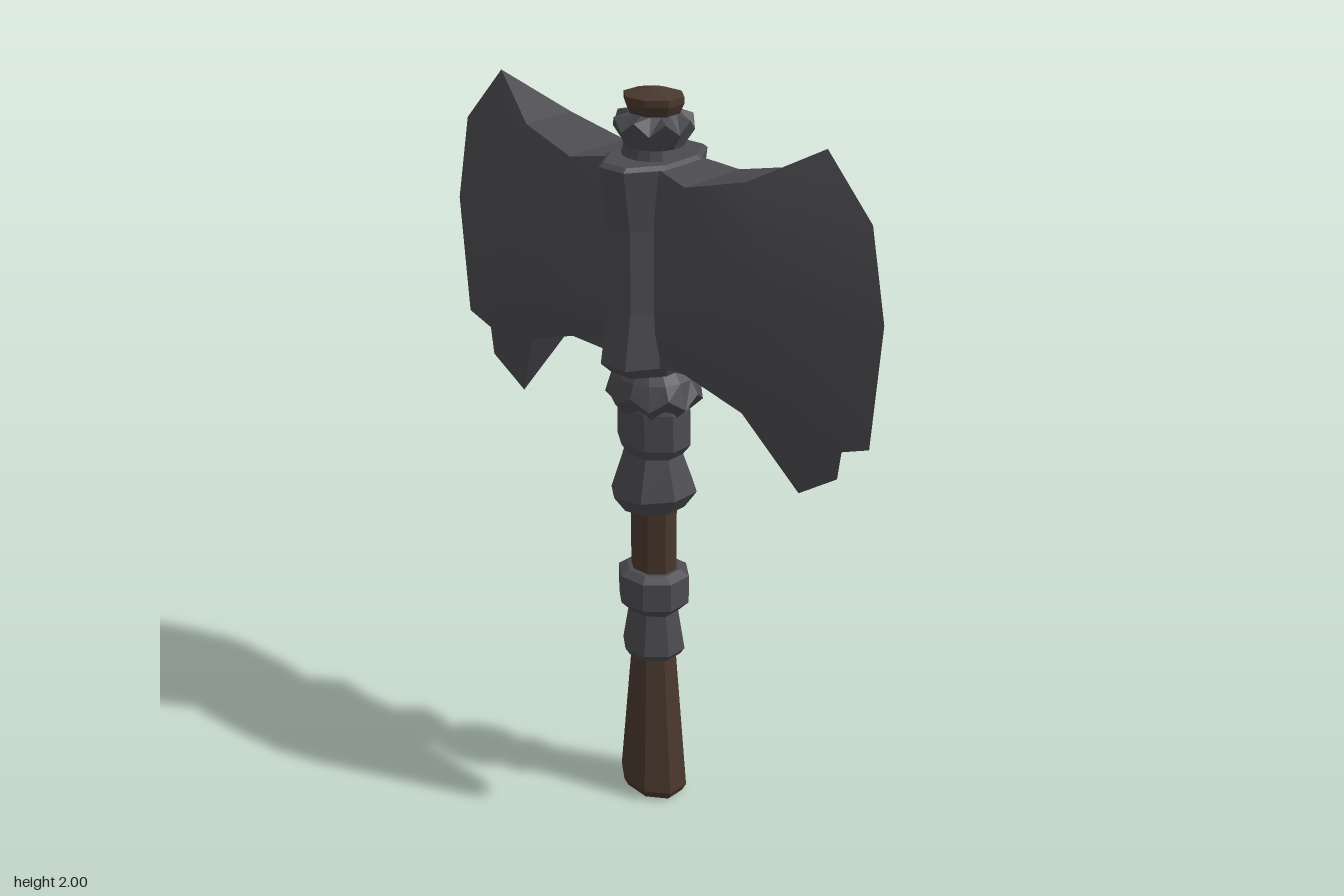
import * as THREE from 'three';

const metal = new THREE.MeshStandardMaterial({ color: 0x4c4b50 });
metal.name = 'dark iron';
const wood = new THREE.MeshStandardMaterial({ color: 0x4a382e });
wood.name = 'dark wood';

// Faceted stack of rings, top to bottom: [y, half width x, half width z, zigzag, tilt]
function stack(name, material, rings, sides = 8) {
  const rows = rings.length - 1;
  const start = Math.PI / sides;
  const geo = new THREE.CylinderGeometry(1, 1, 1, sides, rows, false, start);
  const p = geo.attributes.position;
  const fit = 1 / Math.cos(Math.PI / sides);
  for (let i = 0; i < p.count; i++) {
    const [y, rx, rz, zig = 0, tilt = 0] = rings[Math.round((0.5 - p.getY(i)) * rows)];
    const x = p.getX(i) * rx * fit, z = p.getZ(i) * rz * fit;
    const k = Math.round((Math.atan2(p.getX(i), p.getZ(i)) - start) / (2 * start));
    const onRim = Math.hypot(x, z) > 0.001;
    const wave = onRim ? (k % 2 === 0 ? zig : -zig) : 0;
    p.setXYZ(i, x, y + wave + tilt * x, z);
  }
  const flat = geo.toNonIndexed();
  flat.computeVertexNormals();
  const mesh = new THREE.Mesh(flat, material);
  mesh.name = name;
  return mesh;
}

// Blade columns from the hub to the cutting edge; each row is [x, y, half thickness]
const bladeColumns = [
  [[.06, 1.83, .07], [.06, 1.7, .075], [.06, 1.57, .075], [.06, 1.45, .075], [.06, 1.4, .075], [.06, 1.36, .07], [.06, 1.31, .07]],
  [[.19, 1.81, .1], [.19, 1.7, .125], [.19, 1.57, .13], [.19, 1.46, .13], [.19, 1.42, .125], [.19, 1.38, .115], [.19, 1.335, .1]],
  [[.36, 1.855, .08], [.42, 1.72, .105], [.44, 1.57, .11], [.43, 1.43, .11], [.41, 1.38, .105], [.39, 1.33, .095], [.36, 1.275, .08]],
  [[.53, 1.95, 0], [.665, 1.8, 0], [.71, 1.57, 0], [.685, 1.25, 0], [.605, 1.22, 0], [.595, 1.145, 0], [.48, 1.07, 0]],
];

function surface(points, quads, flip) {
  const index = [];
  for (const [a, b, c, d] of quads) index.push(...(flip ? [a, c, b, a, d, c] : [a, b, c, a, c, d]));
  const geo = new THREE.BufferGeometry();
  geo.setAttribute('position', new THREE.Float32BufferAttribute(points.flat(), 3));
  geo.setIndex(index);
  geo.computeVertexNormals();
  return geo;
}

function blade(side, name) {
  const group = new THREE.Group();
  group.name = name;
  const add = (geo, part) => {
    const mesh = new THREE.Mesh(geo, metal);
    mesh.name = part;
    group.add(mesh);
  };
  const rows = bladeColumns[0].length, cols = bladeColumns.length;

  // Smooth bulging cheeks, front and back
  for (const face of [1, -1]) {
    const points = bladeColumns.flat().map(([x, y, z]) => [side * x, y, face * z]);
    const quads = [];
    for (let c = 0; c < cols - 1; c++)
      for (let r = 0; r < rows - 1; r++) {
        const a = c * rows + r;
        quads.push([a, a + 1, a + rows + 1, a + rows]);
      }
    add(surface(points, quads, side * face < 0), face > 0 ? 'bladeFrontCheek' : 'bladeBackCheek');
  }

  // Flat facets closing the upper and lower rims
  for (const row of [0, rows - 1]) {
    const points = [], quads = [];
    for (const column of bladeColumns) {
      const [x, y, z] = column[row];
      points.push([side * x, y, z], [side * x, y, -z]);
    }
    for (let c = 0; c < cols - 1; c++) quads.push([2 * c + 1, 2 * c, 2 * c + 2, 2 * c + 3]);
    const rim = surface(points, quads, (row === 0) !== (side > 0)).toNonIndexed();
    rim.computeVertexNormals();
    add(rim, row === 0 ? 'bladeUpperRim' : 'bladeLowerRim');
  }
  return group;
}

export function createModel() {
  const axe = new THREE.Group();
  axe.name = 'doubleAxe';

  // Wooden shaft, flared and cut at a slant at the foot
  axe.add(stack('shaft', wood, [
    [1.0, .062, .052], [.68, .062, .052], [.46, .058, .056],
    [.035, .092, .08, 0, -.12], [.012, .08, .07, 0, -.14],
  ]));
  axe.add(stack('topPlug', wood, [
    [2.0, .008, .008], [1.982, .074, .066], [1.965, .074, .066], [1.92, .055, .05],
  ]));

  // Lower grip bands
  axe.add(stack('lowerGrip', metal, [
    [.7, .07, .065], [.685, .094, .086], [.605, .094, .086], [.575, .066, .06],
    [.46, .084, .076], [.44, .07, .065],
  ]));

  // Upper socket with a slanted foot
  axe.add(stack('upperSocket', metal, [
    [1.2, .082, .07], [1.17, .096, .08], [1.07, .098, .08], [1.04, .076, .066],
    [.925, .113, .102, 0, .12], [.88, .08, .075, 0, .1],
  ]));

  // Serrated collars below and above the hub
  axe.add(stack('lowerCollar', metal, [
    [1.29, .085, .085], [1.26, .108, .1], [1.21, .13, .116, .015], [1.165, .085, .075, .012],
  ], 16));
  axe.add(stack('upperCollar', metal, [
    [1.94, .065, .06], [1.915, .102, .094, .015], [1.86, .075, .07], [1.82, .085, .08],
  ], 16));

  // Waisted hub holding both blades
  axe.add(stack('hub', metal, [
    [1.835, .09, .14], [1.825, .1, .152], [1.67, .094, .128],
    [1.46, .094, .128], [1.315, .1, .152], [1.285, .088, .12],
  ]));

  axe.add(blade(1, 'leftBlade'), blade(-1, 'rightBlade'));
  return axe;
}
